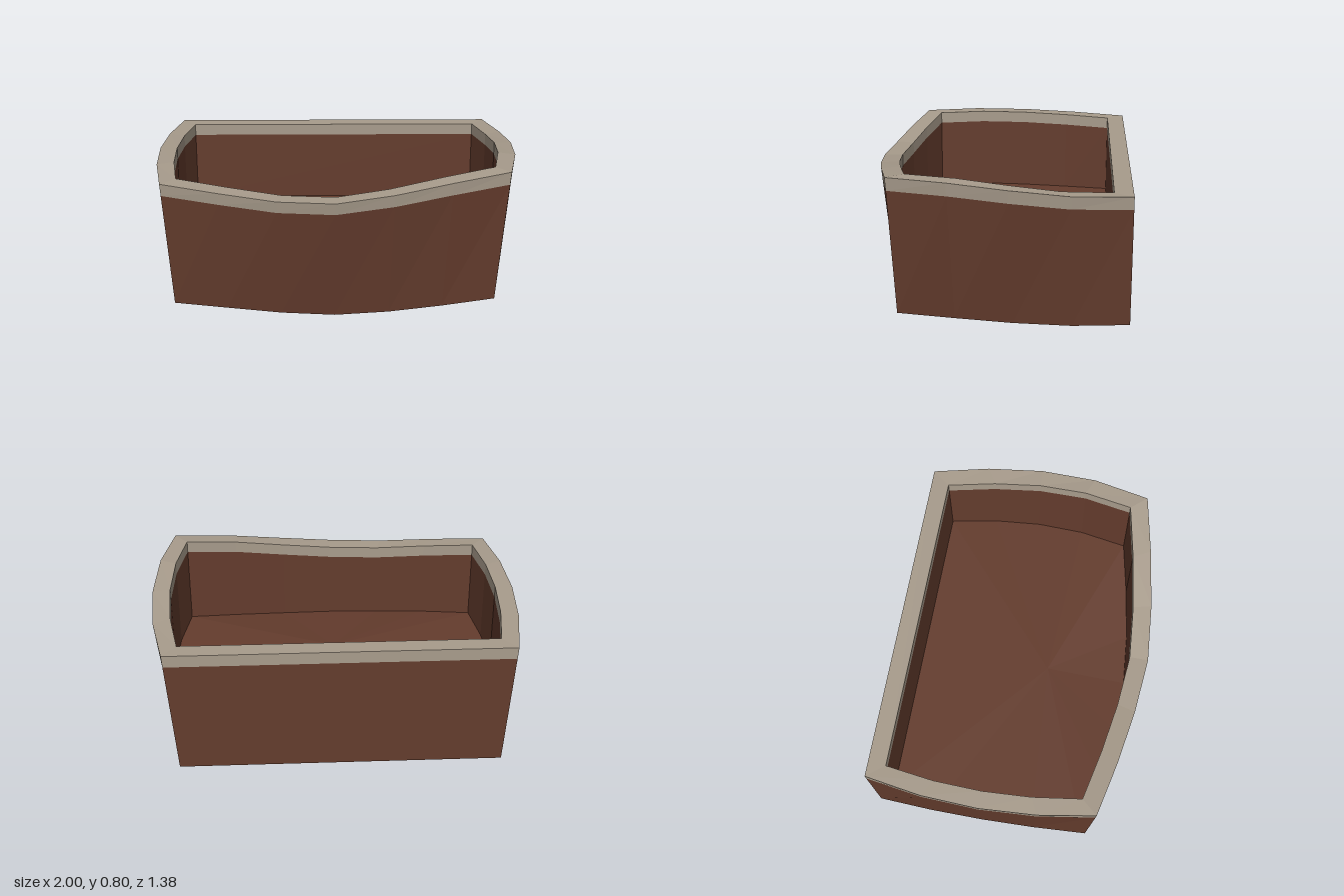
import * as THREE from 'three';

// Heights along the rim and underside: front edge left to right, then each side front to back
const TOP = {
  front: [0.745, 0.716, 0.687, 0.685, 0.72, 0.768, 0.805],
  right: [0.8, 0.772, 0.74, 0.725],
  left: [0.75, 0.745, 0.735, 0.725],
};
const BASE = {
  front: [0.045, 0.03, 0.012, 0.004, 0.015, 0.037, 0.063],
  right: [0.055, 0.04, 0.027, 0.025],
  left: [0.04, 0.032, 0.026, 0.025],
};

// Closed outline with bowed sides and front and a straight back, anticlockwise from above
function ring({ half, bow, cx, frontZ, frontBow, backZ }, heights) {
  const points = heights.front.map((y, i) => {
    const t = (i - 3) / 3;
    return new THREE.Vector3(cx + half * t, y, frontZ + frontBow * (1 - Math.abs(t) ** 1.5));
  });
  const side = (sign, list) => list.map((y, i) => {
    const s = 1 - (i + 1) / 2;
    const x = sign * (half + bow * (1 - s * s)) + cx * s * s;
    return new THREE.Vector3(x, y, THREE.MathUtils.lerp(backZ, frontZ, (s + 1) / 2));
  });
  return [...points, ...side(1, heights.right), ...side(-1, heights.left).reverse()];
}

const lowered = (points, dy) => points.map((p) => new THREE.Vector3(p.x, p.y + dy, p.z));

// Quads joining two outlines
function band(a, b) {
  return a.flatMap((p, i) => {
    const j = (i + 1) % a.length;
    return [p, a[j], b[j], p, b[j], b[i]];
  });
}

// Fan that closes an outline, facing up or down
function cap(points, up) {
  const c = new THREE.Vector3();
  points.forEach((p) => c.addScaledVector(p, 1 / points.length));
  return points.flatMap((p, i) => {
    const q = points[(i + 1) % points.length];
    return up ? [c, p, q] : [c, q, p];
  });
}

function part(name, material, corners) {
  const geometry = new THREE.BufferGeometry().setFromPoints(corners);
  geometry.computeVertexNormals();
  const mesh = new THREE.Mesh(geometry, material);
  mesh.name = name;
  return mesh;
}

export function createModel() {
  const brown = new THREE.MeshStandardMaterial({ color: 0x643c2d });
  brown.name = 'brown body';
  const stone = new THREE.MeshStandardMaterial({ color: 0xa89c8c });
  stone.name = 'pale rim';

  const rimOuter = ring({ half: 0.922, bow: 0.078, cx: -0.008, frontZ: 0.547, frontBow: 0.145, backZ: -0.693 }, TOP);
  const base = ring({ half: 0.872, bow: 0.033, cx: -0.012, frontZ: 0.51, frontBow: 0.075, backZ: -0.693 }, BASE);
  const inner = { half: 0.847, bow: 0.058, cx: -0.007, frontZ: 0.46, frontBow: 0.13, backZ: -0.595 };
  const rimInner = ring(inner, TOP);

  // Rim meets the sloping outer wall a little below the top
  const rimLower = rimOuter.map((p, i) => p.clone().lerp(base[i], 0.095));
  const rimInnerLower = lowered(rimInner, -0.065);
  const floor = lowered(ring(inner, BASE), 0.235);

  const group = new THREE.Group();
  group.name = 'openTub';
  group.add(
    part('outerWall', brown, band(base, rimLower)),
    part('underside', brown, cap(base, false)),
    part('innerWall', brown, band(rimInnerLower, floor)),
    part('floor', brown, cap(floor, true)),
    part('rim', stone, [
      ...band(rimLower, rimOuter),
      ...band(rimOuter, rimInner),
      ...band(rimInner, rimInnerLower),
    ]),
  );
  return group;
}
